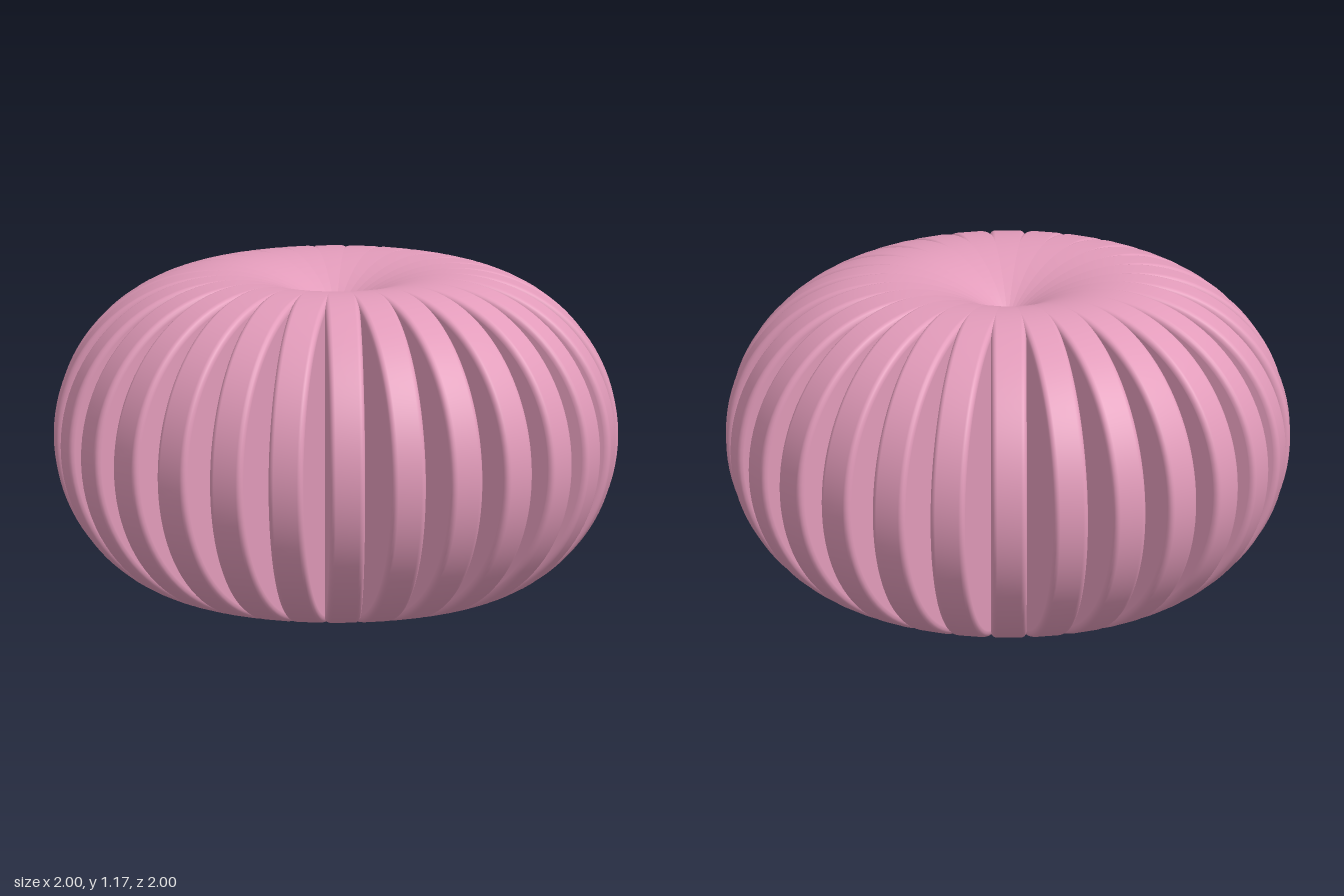
import * as THREE from 'three';

const RIBS = 28;        // ribs around the vertical axis
const RADIUS = 0.5875;  // radius of each round rib
const OFFSET = 0.4125;  // rib centre's distance from the axis
const HALF = 0.0625;    // half of a rib's thickness
const BEVEL = 0.02;     // rounding of the rim edges

// A flat disc with a softly rounded rim, lying on the xz plane
function makeRibGeometry() {
  const inner = RADIUS - BEVEL;
  const points = [new THREE.Vector2(0, -HALF), new THREE.Vector2(inner - 0.003, -HALF)];
  for (const side of [-1, 1]) {
    for (let i = 0; i <= 4; i++) {
      const a = (side < 0 ? i / 4 - 1 : i / 4) * Math.PI / 2;
      points.push(new THREE.Vector2(
        inner + BEVEL * Math.cos(a),
        side * (HALF - BEVEL) + BEVEL * Math.sin(a)));
    }
  }
  points.push(new THREE.Vector2(inner - 0.003, HALF), new THREE.Vector2(0, HALF));
  const geometry = new THREE.LatheGeometry(points, 96);
  // Stand the disc upright and push it out from the axis
  geometry.rotateZ(Math.PI / 2);
  geometry.translate(0, RADIUS, OFFSET);
  return geometry;
}

export function createModel() {
  const model = new THREE.Group();
  model.name = 'ribbedCushion';
  const pink = new THREE.MeshStandardMaterial({ color: 0xe29bba });
  pink.name = 'dusty pink';
  const geometry = makeRibGeometry();

  // Overlapping ribs form the dimples at top and bottom
  for (let i = 0; i < RIBS; i++) {
    const rib = new THREE.Mesh(geometry, pink);
    rib.name = `rib${i + 1}`;
    rib.rotation.y = (i / RIBS) * Math.PI * 2;
    model.add(rib);
  }
  return model;
}
